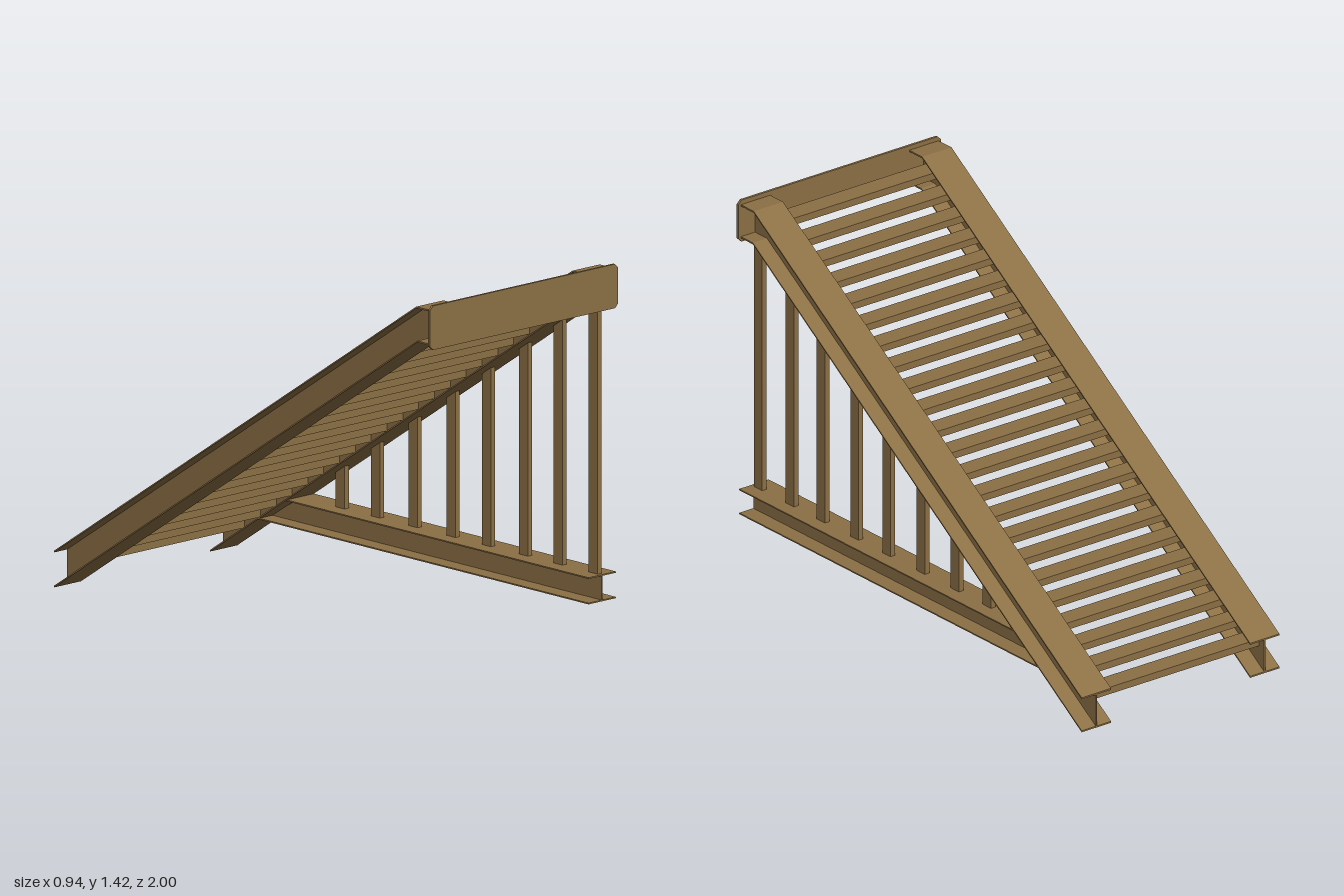
import * as THREE from 'three';

export function createModel() {
  const model = new THREE.Group();
  model.name = 'staircase';
  const steel = new THREE.MeshStandardMaterial({ color: 0x8c7045 });
  steel.name = 'bronze painted steel';

  const T = 0.005;        // sheet thickness
  const BEAM_X = 0.39;    // beam centre line
  const BEAM_W = 0.136;   // flange width
  const FRONT = 0.99;

  // underside of the sloped beam at a given z
  const SLOPE = 0.659;
  const under = (z) => Math.min(1.27, (z + 1) * SLOPE + 0.003);

  function add(parent, geometry, name, x = 0, y = 0, z = 0) {
    const mesh = new THREE.Mesh(geometry, steel);
    mesh.name = name;
    mesh.position.set(x, y, z);
    parent.add(mesh);
    return mesh;
  }

  // outline given as [z, y], extruded across x and centred
  function slab(points, width) {
    const shape = new THREE.Shape(points.map(([z, y]) => new THREE.Vector2(z, y)));
    const geo = new THREE.ExtrudeGeometry(shape, { depth: width, bevelEnabled: false });
    geo.translate(0, 0, -width / 2);
    geo.rotateY(-Math.PI / 2);
    return geo;
  }

  // I-beam from a lower and an upper edge line, each running back to front
  function iBeam(name, lower, upper, x, t) {
    const beam = new THREE.Group();
    beam.name = name;
    const shift = (line, d) => line.map(([z, y]) => [z, y + d]);
    const band = (a, b) => [...a, ...[...b].reverse()];
    add(beam, slab(band(shift(lower, t), shift(upper, -t)), T), 'web');
    add(beam, slab(band(lower, shift(lower, t)), BEAM_W), 'lowerFlange');
    add(beam, slab(band(shift(upper, -t), upper), BEAM_W), 'upperFlange');
    beam.position.x = x;
    model.add(beam);
  }

  // sloped stringers with a short level top
  const kink = 0.92;
  const low = [[-1, 0.003], [kink, 1.27], [FRONT, 1.27]];
  const high = [[-1, 0.14], [kink - 0.005, 1.403], [FRONT, 1.403]];
  iBeam('leftStringer', low, high, BEAM_X, T + 0.001);
  iBeam('rightStringer', low, high, -BEAM_X, T + 0.001);

  // level beam under the left stringer, cut to meet its underside
  const meet = (y) => (y - 0.003) / SLOPE - 1;
  iBeam('baseBeam', [[meet(0.17), 0.17], [1, 0.17]], [[meet(0.27), 0.27], [1, 0.27]], BEAM_X, T);

  // posts between the level beam and the stringer
  [0.96, 0.775, 0.593, 0.397, 0.21, 0.009, -0.189, -0.376].forEach((z) => {
    const a = z - 0.024, b = z + 0.024;
    add(model, slab([[a, 0.27], [b, 0.27], [b, under(b)], [a, under(a)]], 0.021), 'post', BEAM_X + 0.002);
  });

  // treads between the stringer webs
  const tread = new THREE.BoxGeometry(2 * BEAM_X - T, 0.027, 0.083);
  for (let i = 0; i < 23; i++) {
    add(model, tread, 'tread', 0, 0.115 + i * 0.0555, -0.928 + i * 0.0836);
  }

  // front plate with clipped corners
  const w = 0.47, h = 0.0825, c = 0.016;
  const plate = new THREE.Shape([
    [-w + c, -h], [w - c, -h], [w, -h + c], [w, h - c],
    [w - c, h], [-w + c, h], [-w, h - c], [-w, -h + c],
  ].map(([x, y]) => new THREE.Vector2(x, y)));
  const plateGeo = new THREE.ExtrudeGeometry(plate, { depth: 0.01, bevelEnabled: false });
  add(model, plateGeo, 'frontPlate', 0, 1.338, FRONT);

  return model;
}
